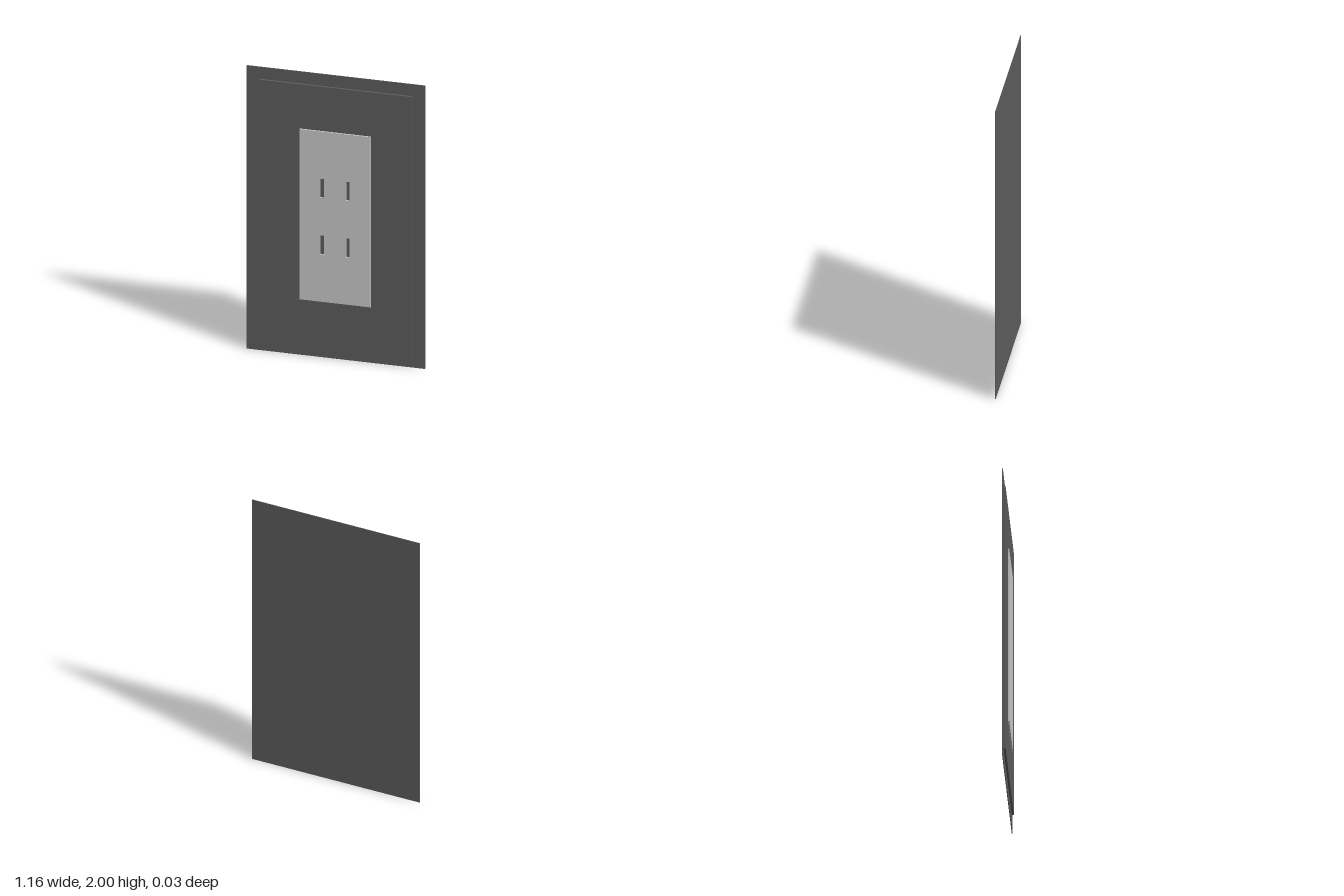
import * as THREE from 'three';

export function createModel() {
  const group = new THREE.Group();
  const dark = new THREE.MeshStandardMaterial({ color: 0x5e5e5e });
  const light = new THREE.MeshStandardMaterial({ color: 0xcccccc });

  // Depth steps from back to front
  const zBack = -0.0145, zPlate = -0.01, zPanel = 0.003, zFront = 0.0125;

  function add(name, geometry, material) {
    const mesh = new THREE.Mesh(geometry, material);
    mesh.name = name;
    group.add(mesh);
  }

  function slab(width, y0, y1, z0, z1) {
    return new THREE.BoxGeometry(width, y1 - y0, z1 - z0)
      .translate(0, (y0 + y1) / 2, (z0 + z1) / 2);
  }

  function rectangle(path, x0, y0, x1, y1) {
    path.moveTo(x0, y0);
    path.lineTo(x1, y0);
    path.lineTo(x1, y1);
    path.lineTo(x0, y1);
    path.closePath();
    return path;
  }

  // Thin wide back plate and the raised panel on it
  add('backPlate', slab(1.164, 0, 2, zBack, zPlate), dark);
  add('raisedPanel', slab(1.0, 0.088, 1.916, zPlate, zPanel), dark);

  // Light insert pierced by four upright slots that show the panel behind
  const face = rectangle(new THREE.Shape(), -0.233, 0.402, 0.233, 1.604);
  for (const x of [-0.084, 0.084]) {
    for (const y of [0.803, 1.203]) {
      face.holes.push(rectangle(new THREE.Path(), x - 0.012, y - 0.067, x + 0.012, y + 0.067));
    }
  }
  const insert = new THREE.ExtrudeGeometry(face, { depth: zFront - zPanel, bevelEnabled: false });
  insert.translate(0, 0, zPanel);
  // Slot walls (second group) are dark like the panel; outer rim stays light
  add('slottedInsert', insert, light);

  return group;
}
